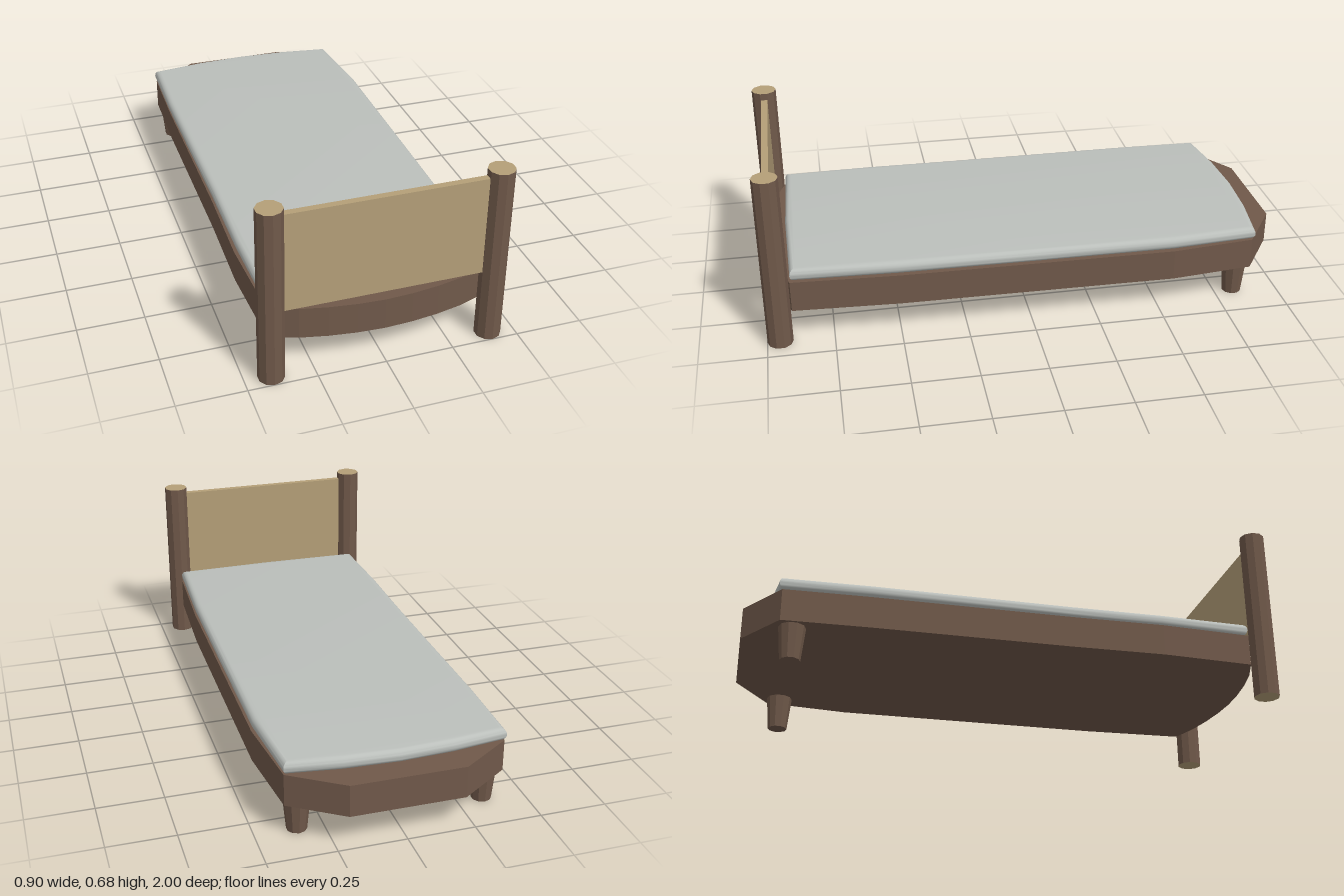
import * as THREE from 'three';
import { toCreasedNormals } from 'three/addons/utils/BufferGeometryUtils.js';

const material = (name, color) => {
  const m = new THREE.MeshStandardMaterial({ color });
  m.name = name;
  return m;
};

// Plan outline given as [x, z] pairs, for extrusion upwards
const plan = (points) => new THREE.Shape(points.map(([x, z]) => new THREE.Vector2(x, -z)));

export function createModel() {
  const brown = material('brown wood', 0x70594a);
  const tan = material('tan wood', 0xb49f78);
  const grey = material('grey fabric', 0xbbbfbb);
  const bed = new THREE.Group();
  bed.name = 'bed';

  const add = (name, geometry, mat, x = 0, y = 0, z = 0) => {
    const mesh = new THREE.Mesh(geometry, mat);
    mesh.name = name;
    mesh.position.set(x, y, z);
    bed.add(mesh);
  };

  // Base: chamfered foot end, softly bowed sides, curved head end
  const base = new THREE.ExtrudeGeometry(plan([
    [-0.21, -1], [-0.402, -0.87], [-0.41, -0.55], [-0.412, 0.2], [-0.42, 0.55], [-0.403, 0.9],
    [-0.3, 0.937], [-0.2, 0.958], [-0.1, 0.971], [0, 0.976], [0.1, 0.971], [0.2, 0.958], [0.3, 0.937],
    [0.405, 0.9], [0.425, 0.5], [0.43, 0], [0.435, -0.55], [0.402, -0.87], [0.21, -1],
  ]), { depth: 0.121, bevelEnabled: false });
  base.rotateX(-Math.PI / 2);
  add('bedFrame', base, brown, 0, 0.129, 0);

  // Mattress with rounded rim
  const r = 0.0235;
  const mattress = new THREE.ExtrudeGeometry(plan([
    [0, -0.918], [-0.2, -0.908], [-0.405, -0.88], [-0.413, -0.55], [-0.41, 0.2], [-0.414, 0.55],
    [-0.405, 0.898], [0, 0.906], [0.405, 0.898], [0.423, 0.5], [0.428, 0], [0.432, -0.55],
    [0.405, -0.88], [0.2, -0.908],
  ]), {
    depth: 0.003, bevelEnabled: true, bevelSize: r, bevelOffset: -r, bevelThickness: r, bevelSegments: 5,
  });
  mattress.rotateX(-Math.PI / 2);
  add('mattress', toCreasedNormals(mattress, 0.5), grey, 0, 0.251 + r, 0);

  // Headboard panel between the posts
  add('headboardPanel', new THREE.BoxGeometry(0.724, 0.379, 0.025), tan, 0, 0.4655, 0.952);

  for (const side of [-1, 1]) {
    // Faceted posts with pale end grain
    const post = new THREE.CylinderGeometry(0.048, 0.048, 0.682, 10).toNonIndexed();
    post.computeVertexNormals();
    add(side > 0 ? 'leftPost' : 'rightPost', post, [brown, tan, tan], side * 0.404, 0.341, 0.952);

    // Tapered feet
    const foot = new THREE.CylinderGeometry(0.05, 0.037, 0.135, 10).toNonIndexed();
    foot.computeVertexNormals();
    add(side > 0 ? 'leftFoot' : 'rightFoot', foot, brown, side * 0.346, 0.0675, -0.823);
  }
  return bed;
}
